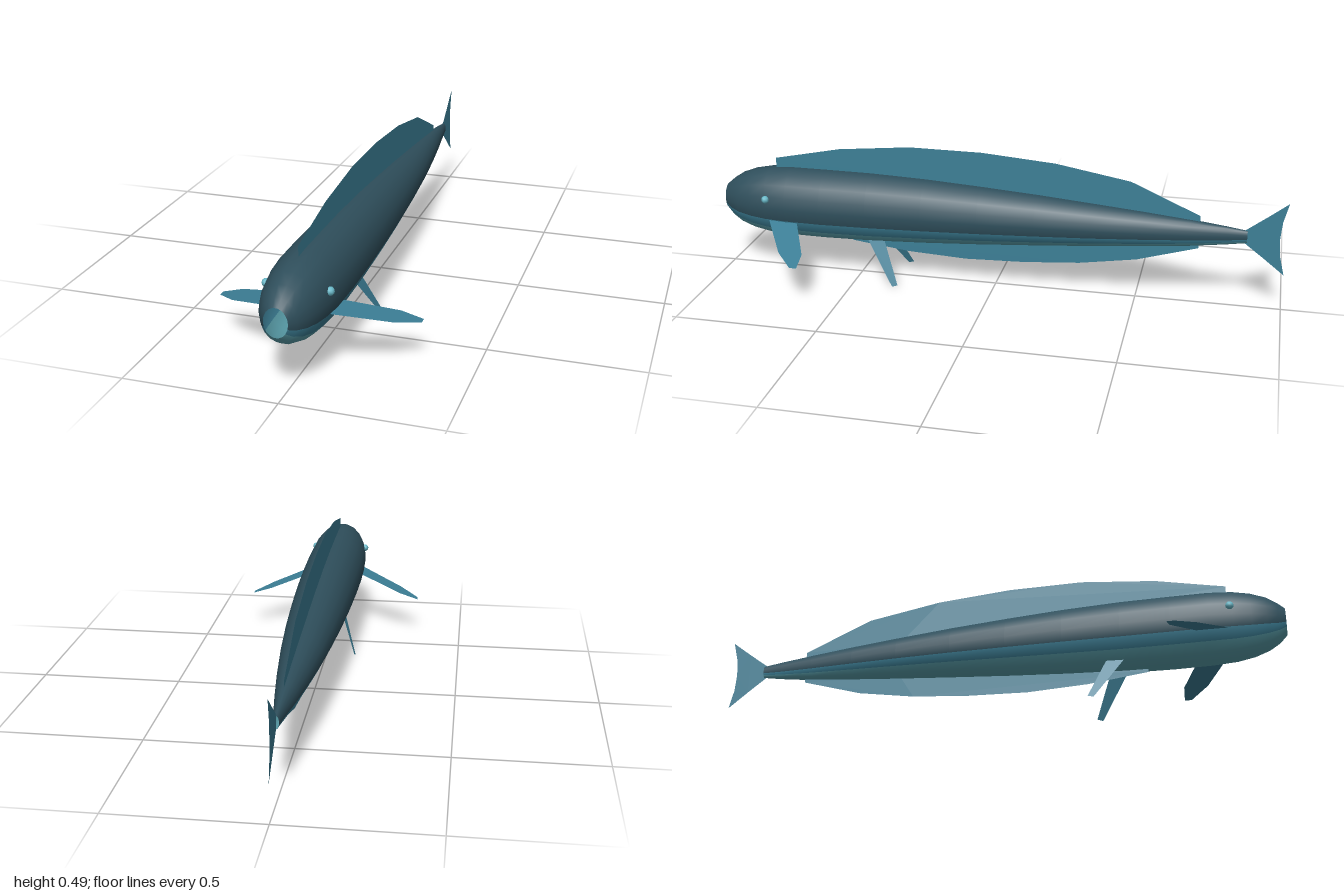
import * as THREE from 'three';

const mat = (name, color) => {
  const m = new THREE.MeshStandardMaterial({ color, side: THREE.DoubleSide });
  m.name = name;
  return m;
};

// Body rings from nose to tail: z, half width, top y, bottom y
const RINGS = [
  [1.0, 0.038, 0.305, 0.21], [0.975, 0.057, 0.327, 0.184], [0.94, 0.076, 0.35, 0.162],
  [0.89, 0.091, 0.369, 0.144], [0.83, 0.102, 0.381, 0.133], [0.75, 0.109, 0.386, 0.129],
  [0.62, 0.111, 0.386, 0.128], [0.45, 0.109, 0.385, 0.131], [0.25, 0.104, 0.378, 0.14],
  [0.05, 0.096, 0.366, 0.152], [-0.15, 0.085, 0.352, 0.166], [-0.35, 0.07, 0.335, 0.181],
  [-0.52, 0.053, 0.32, 0.195], [-0.68, 0.034, 0.304, 0.21], [-0.8, 0.018, 0.29, 0.225],
  [-0.87, 0.01, 0.28, 0.236],
];
const SIDES = 18;

// Smooth tube, open at the mouth, with colour groups running lengthwise
function bodyGeometry() {
  const pos = [];
  for (const [z, w, top, bottom] of RINGS) {
    for (let j = 0; j < SIDES; j++) {
      const t = ((j + 0.5) / SIDES) * Math.PI * 2;
      pos.push(Math.sin(t) * w, (top + bottom) / 2 + (Math.cos(t) * (top - bottom)) / 2, z);
    }
  }
  const index = [];
  const geo = new THREE.BufferGeometry();
  for (let j = 0; j < SIDES; j++) {
    const start = index.length;
    const k = (j + 1) % SIDES;
    for (let i = 0; i < RINGS.length - 1; i++) {
      const a = i * SIDES + j, b = i * SIDES + k;
      index.push(a, b, a + SIDES, b, b + SIDES, a + SIDES);
    }
    // Steps away from the lowest strip decide back, flank or belly
    const fromBelly = Math.abs(j - (SIDES / 2 - 1));
    const steps = Math.min(fromBelly, SIDES - fromBelly);
    geo.addGroup(start, index.length - start, steps <= 2 ? 2 : steps === 3 ? 1 : 0);
  }
  geo.setAttribute('position', new THREE.Float32BufferAttribute(pos, 3));
  geo.setIndex(index);
  geo.computeVertexNormals();
  return geo;
}

// Flat fin: outline in (u, v), placed in space by a mapping rule
function fin(name, outline, material, place) {
  const geo = new THREE.ShapeGeometry(new THREE.Shape(outline.map(([u, v]) => new THREE.Vector2(u, v))));
  const p = geo.attributes.position;
  for (let i = 0; i < p.count; i++) p.setXYZ(i, ...place(p.getX(i), p.getY(i)));
  geo.computeVertexNormals();
  const mesh = new THREE.Mesh(geo, material);
  mesh.name = name;
  return mesh;
}

export function createModel() {
  const back = mat('dark slate back', 0x2f4f5c);
  const finBlue = mat('fin blue', 0x3c7f96);
  const belly = mat('pale teal belly', 0x5a9fab);
  const eyeMat = mat('light cyan eye', 0x68b8c8);

  const group = new THREE.Group();
  group.name = 'fish';

  const body = new THREE.Mesh(bodyGeometry(), [back, finBlue, belly]);
  body.name = 'body';
  group.add(body);

  // Fins on the centre plane, outlines in (z, y)
  const middle = (z, y) => [0, y, z];
  group.add(fin('dorsalFin', [
    [0.81, 0.375], [0.81, 0.415], [0.57, 0.465], [0.31, 0.491], [0.05, 0.49], [-0.21, 0.47],
    [-0.47, 0.425], [-0.71, 0.32], [-0.71, 0.298], [-0.35, 0.325], [0.05, 0.355], [0.45, 0.375],
  ], finBlue, middle));
  group.add(fin('analFin', [
    [0.53, 0.14], [0.53, 0.12], [0.32, 0.095], [0.11, 0.085], [-0.1, 0.092], [-0.3, 0.108],
    [-0.5, 0.14], [-0.71, 0.202], [-0.71, 0.22], [-0.35, 0.19], [0.05, 0.162],
  ], finBlue, middle));
  group.add(fin('tailFin', [
    [-0.86, 0.28], [-0.93, 0.333], [-1, 0.388], [-0.983, 0.32], [-0.978, 0.258],
    [-0.983, 0.196], [-1, 0.128], [-0.93, 0.183], [-0.86, 0.236],
  ], finBlue, middle));

  // Paired fins and eyes
  for (const [side, s] of [['left', 1], ['right', -1]]) {
    group.add(fin(side + 'PectoralFin', [
      [0.09, 0.815], [0.26, 0.715], [0.33, 0.65], [0.33, 0.625], [0.26, 0.63], [0.09, 0.71],
    ], finBlue, (x, z) => [s * x, 0.21 - (x - 0.1) * 0.3, z]));
    group.add(fin(side + 'PelvicFin', [
      [0.465, 0.165], [0.4, 0.165], [0.335, 0.006], [0.355, 0],
    ], finBlue, (z, y) => [s * (0.055 + (0.15 - y) * 0.37), y, z]));

    const eye = new THREE.Mesh(new THREE.SphereGeometry(0.014, 8, 6), eyeMat);
    eye.name = side + 'Eye';
    eye.position.set(s * 0.1, 0.29, 0.82);
    group.add(eye);
  }
  return group;
}
